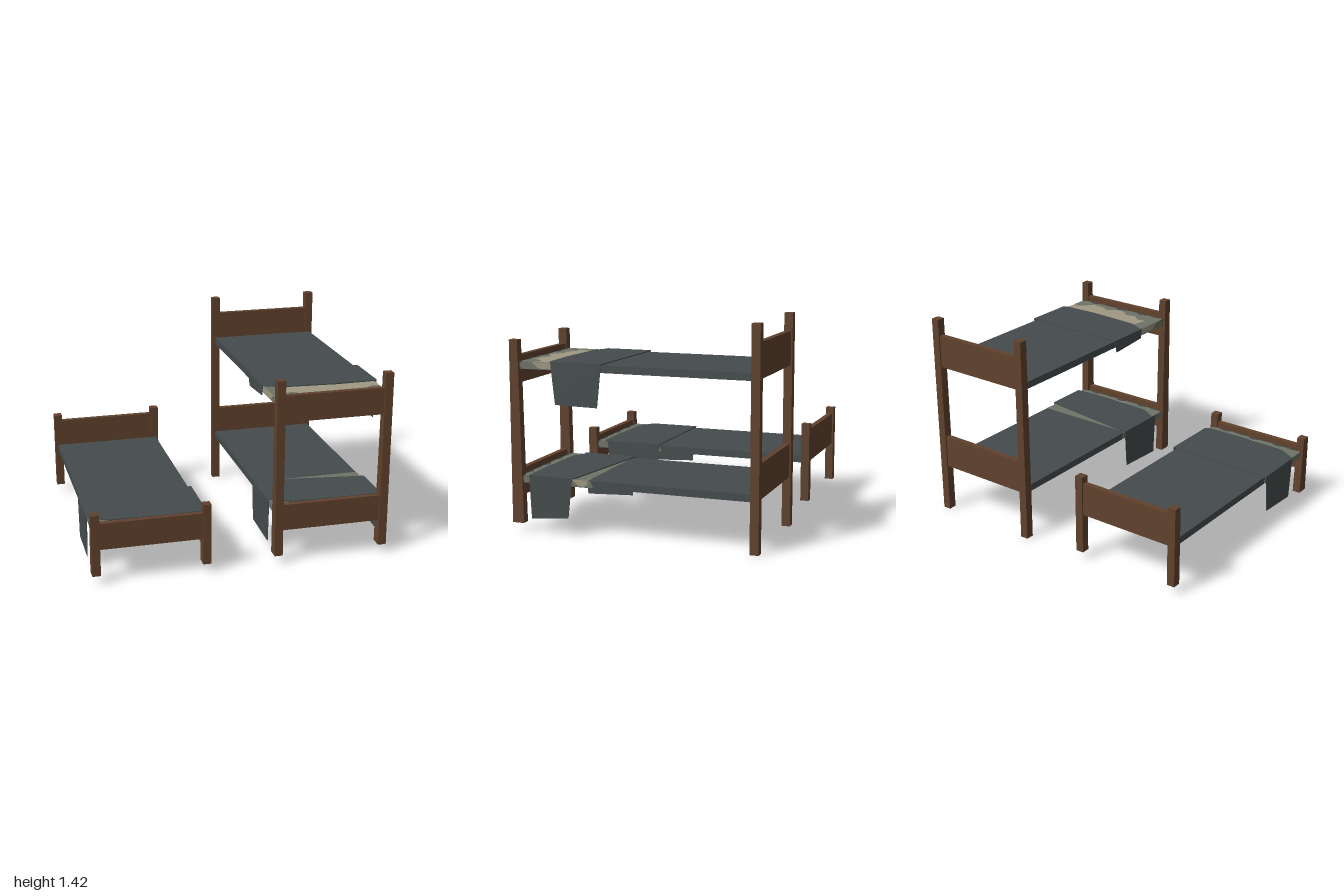
import * as THREE from 'three';

const mat = (name, color) => {
  const m = new THREE.MeshStandardMaterial({ color });
  m.name = name;
  return m;
};

export function createModel() {
  const wood = mat('brown wood', 0x60412c);
  const slate = mat('slate blanket', 0x454c4d);
  const green = mat('grey green cloth', 0x6e7366);
  const beige = mat('beige cloth', 0xa09884);
  const root = new THREE.Group();
  root.name = 'bunkBedAndSingleBed';

  const add = (parent, name, geo, material) => {
    const mesh = new THREE.Mesh(geo, material);
    mesh.name = name;
    parent.add(mesh);
    return mesh;
  };

  const box = (parent, name, material, x0, x1, y0, y1, z0, z1) => {
    const geo = new THREE.BoxGeometry(x1 - x0, y1 - y0, z1 - z0);
    geo.translate((x0 + x1) / 2, (y0 + y1) / 2, (z0 + z1) / 2);
    return add(parent, name, geo, material);
  };

  const extrude = (pts, depth) => new THREE.ExtrudeGeometry(
    new THREE.Shape(pts.map(([a, b]) => new THREE.Vector2(a, b))),
    { depth, bevelEnabled: false });

  // Flat horizontal plate from [x, z] points, its underside at y
  const plate = (parent, name, material, pts, y, depth) => {
    const geo = extrude(pts.map(([x, z]) => [x, -z]), depth);
    geo.rotateX(-Math.PI / 2).translate(0, y, 0);
    return add(parent, name, geo, material);
  };

  // Thin upright plate from [z, y] points, its inner face at x
  const upright = (parent, name, material, pts, x, depth) => {
    const geo = extrude(pts.map(([z, y]) => [-z, y]), depth);
    geo.rotateY(Math.PI / 2).translate(x, 0, 0);
    return add(parent, name, geo, material);
  };

  // Posts and boards; the bed levels give the height of each mattress top
  const frame = (name, cx, levels, backFoot, backTop, frontTop) => {
    const g = new THREE.Group();
    g.name = name;
    g.position.x = cx;
    for (const s of [-1, 1]) {
      const a = s < 0 ? -0.39 : 0.335;
      box(g, 'backPost', wood, a, a + 0.055, backFoot, backTop, -0.835, -0.778);
      const post = box(g, 'frontPost', wood, a, a + 0.055, 0.06, frontTop, 0.78, 0.838);
      // Front posts thicken inwards towards the foot
      const p = post.geometry.attributes.position;
      for (let i = 0; i < p.count; i++) {
        if (p.getY(i) < 0.1 && p.getZ(i) < 0.8) p.setZ(i, 0.758);
      }
      post.geometry.computeVertexNormals();
    }
    for (const y of levels) {
      box(g, 'backBoard', wood, -0.336, 0.336, y - 0.04, y + 0.185, -0.825, -0.787);
      box(g, 'frontBoard', wood, -0.336, 0.336, y - 0.14, y + 0.038, 0.787, 0.825);
    }
    root.add(g);
    return g;
  };

  // Mattress with patterned cloth, and a blanket hanging over both sides.
  // edge: blanket outline [x, z]; flaps: [z, drop below the blanket] outlines
  const bedding = (g, y, edge, leftFlap, rightFlap, sideBeige) => {
    const b = new THREE.Group();
    b.name = 'bedding';
    b.position.y = y;
    g.add(b);
    box(b, 'mattress', slate, -0.37, 0.37, -0.048, 0, -0.778, 0.782);

    plate(b, 'sheet', green, [[-0.37, 0.3], [0.37, 0.3], [0.37, 0.75], [0.33, 0.775],
      [0.25, 0.75], [0.2, 0.775], [0.12, 0.765], [0.06, 0.775], [0.02, 0.74], [-0.04, 0.77],
      [-0.13, 0.775], [-0.18, 0.75], [-0.24, 0.77], [-0.31, 0.76], [-0.37, 0.775]], 0, 0.002);
    plate(b, 'sheetPatch', beige, [[-0.29, 0.4], [0.368, 0.4], [0.368, 0.66], [0.33, 0.64],
      [0.28, 0.67], [0.24, 0.73], [0.15, 0.72], [0.08, 0.69], [0.02, 0.74], [-0.05, 0.73],
      [-0.1, 0.68], [-0.17, 0.7], [-0.23, 0.65], [-0.3, 0.66], [-0.27, 0.56]], 0.002, 0.001);

    // Pattern on the mattress sides
    for (const s of [-1, 1]) {
      const x = s < 0 ? -0.372 : 0.37;
      upright(b, 'sideCloth', green, [[0.27, -0.046], [0.76, -0.046], [0.775, -0.02],
        [0.76, 0], [0.29, 0]], x, 0.002);
      const [z0, z1] = sideBeige;
      upright(b, 'sidePatch', beige, [[z0, -0.03], [z0 + 0.04, -0.042], [z1 - 0.05, -0.04],
        [z1 - 0.02, -0.015], [z1, 0], [z0, 0]], s < 0 ? -0.373 : 0.372, 0.001);
    }

    // Pattern under the mattress
    plate(b, 'undersidePatch', green, [[0.25, -0.43], [0.2, -0.55], [0.08, -0.6], [-0.1, -0.57],
      [-0.25, -0.63], [-0.368, -0.55], [-0.368, -0.2], [-0.2, -0.16], [0.02, -0.07],
      [0.1, -0.06], [0.15, -0.2]], -0.05, 0.002);
    plate(b, 'undersideSpot', green, [[0.05, 0.6], [-0.1, 0.55], [-0.2, 0.57], [-0.368, 0.52],
      [-0.368, 0.64], [-0.2, 0.66], [-0.05, 0.68], [0.04, 0.66]], -0.05, 0.002);

    plate(b, 'blanketTop', slate, edge, 0.003, 0.007);
    upright(b, 'leftFlap', slate, leftFlap, 0.385, 0.004);
    upright(b, 'rightFlap', slate, rightFlap, -0.385, 0.004);
  };

  // Blanket outline: back corner on each side, then the slanting front edge
  const outline = (backR, backL, frontR, bend, frontL) => [
    [-0.386, backR], [0.388, backL], [0.388, frontL - 0.02], [0.37, frontL],
    [0.1, frontL + 0.005], [-0.26, bend], [-0.386, frontR]];

  const bunk = frame('bunkBed', 0.6, [1.12, 0.375], 0, 1.42, 1.26);
  bunk.position.x = 0.598;
  bedding(bunk, 1.12, outline(0.17, 0.2, 0.48, 0.54, 0.56),
    [[0.55, 0.01], [0.2, 0.01], [0.23, -0.27], [0.52, -0.265]],
    [[0.49, 0.01], [0.17, 0.01], [0.19, -0.08], [0.21, -0.08], [0.48, -0.06]],
    [0.4, 0.69]);
  bedding(bunk, 0.375, outline(0.29, 0.4, 0.63, 0.705, 0.715),
    [[0.715, 0.01], [0.41, 0.01], [0.44, -0.255], [0.7, -0.28]],
    [[0.67, 0.01], [0.29, 0.01], [0.31, -0.27], [0.65, -0.285]],
    [0.31, 0.42]);

  const single = frame('singleBed', -0.61, [0.375], 0.06, 0.605, 0.475);
  bedding(single, 0.375, outline(0.27, 0.285, 0.63, 0.705, 0.715),
    [[0.69, 0.01], [0.285, 0.01], [0.3, -0.27], [0.655, -0.29]],
    [[0.63, 0.01], [0.27, 0.01], [0.3, -0.265], [0.6, -0.28]],
    [0.31, 0.42]);

  return root;
}
